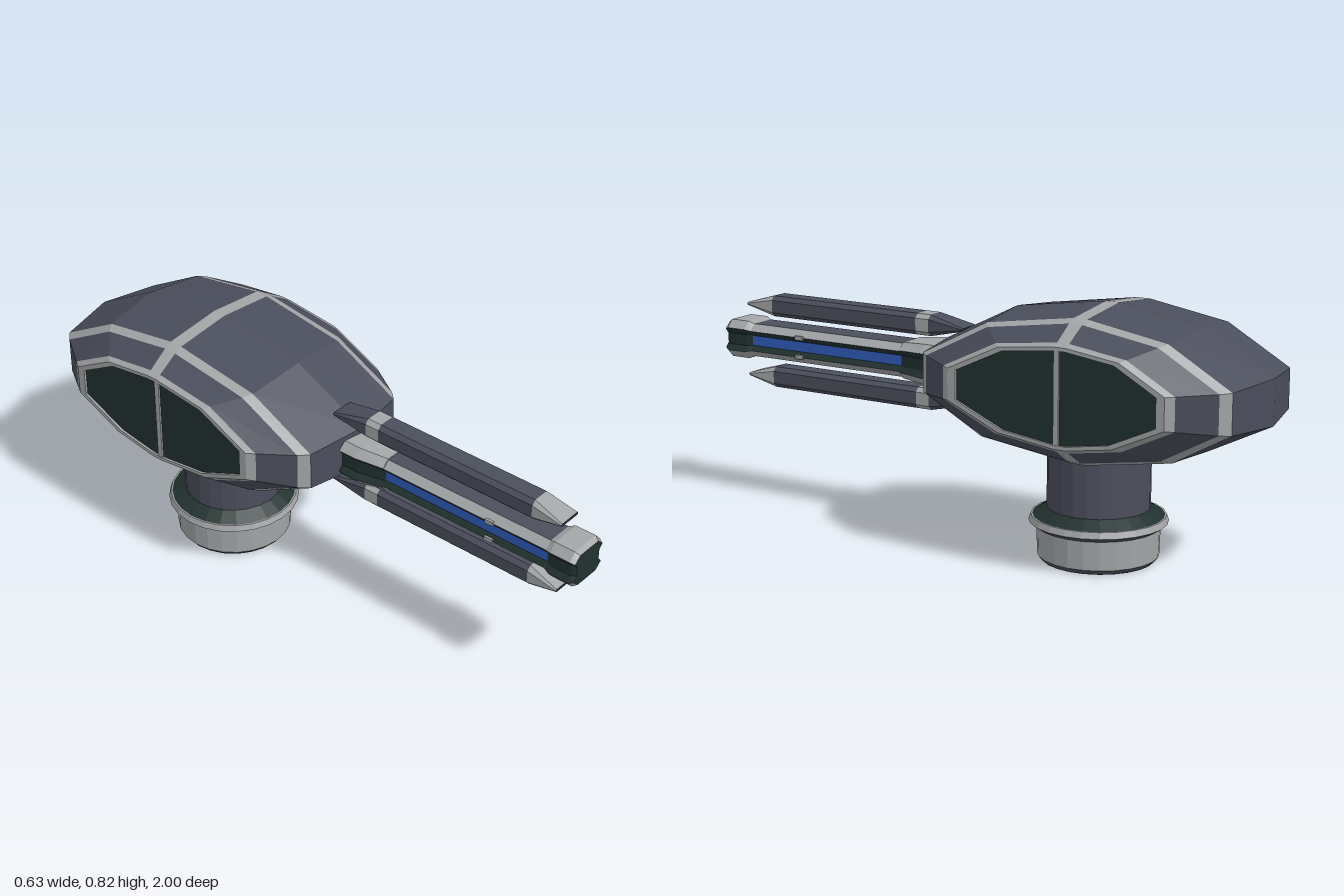
import * as THREE from 'three';

const paint = (name, color) => Object.assign(new THREE.MeshStandardMaterial({ color, flatShading: true }), { name });
const MATS = [
  paint('slate hull', 0x4b4e5c),
  paint('light grey trim', 0xa3a5a7),
  paint('dark green glass', 0x21312f),
  paint('blue glow', 0x2f5cba),
];
const [SLATE, TRIM, DARK, BLUE] = [0, 1, 2, 3];

// Skin over a row of matching rings; pick(i, j) gives each strip's material, caps close both ends
function loft(name, rings, pick, capStart, capEnd) {
  const tris = MATS.map(() => []);
  const tri = (m, ...pts) => pts.forEach((p) => tris[m].push(...p));
  const n = rings[0].length;
  for (let i = 0; i < rings.length - 1; i++) {
    for (let j = 0; j < n; j++) {
      const k = (j + 1) % n, m = pick(i, j);
      const a = rings[i][j], b = rings[i][k], c = rings[i + 1][k], d = rings[i + 1][j];
      tri(m, a, b, c);
      tri(m, a, c, d);
    }
  }
  const cap = (ring, m, flip) => {
    const mid = [0, 1, 2].map((q) => ring.reduce((s, p) => s + p[q], 0) / n);
    ring.forEach((p, j) => {
      const next = ring[(j + 1) % n];
      if (flip) tri(m, mid, next, p);
      else tri(m, mid, p, next);
    });
  };
  cap(rings[0], capStart, true);
  cap(rings[rings.length - 1], capEnd, false);

  const geo = new THREE.BufferGeometry();
  geo.setAttribute('position', new THREE.Float32BufferAttribute(tris.flat(), 3));
  let start = 0;
  tris.forEach((t, m) => {
    if (t.length) geo.addGroup(start, t.length / 3, m);
    start += t.length / 3;
  });
  geo.computeVertexNormals();
  const mesh = new THREE.Mesh(geo, MATS);
  mesh.name = name;
  return mesh;
}

// Hull profiles as [z, y]: top, front, bottom, back
const CENTRE = [[-0.48, 0.82], [-0.435, 0.82], [-0.12, 0.775], [0.14, 0.645], [0.14, 0.5], [-0.1, 0.388],
  [-0.435, 0.358], [-0.48, 0.358], [-0.79, 0.395], [-1, 0.5], [-1, 0.645], [-0.77, 0.775]];
const SHOULDER = [[-0.48, 0.8], [-0.435, 0.8], [-0.13, 0.755], [0.105, 0.635], [0.105, 0.508], [-0.11, 0.393],
  [-0.435, 0.352], [-0.48, 0.352], [-0.77, 0.4], [-0.96, 0.508], [-0.96, 0.635], [-0.75, 0.755]];
const SIDE = [[-0.475, 0.732], [-0.435, 0.732], [-0.24, 0.71], [-0.06, 0.625], [-0.06, 0.525], [-0.24, 0.447],
  [-0.435, 0.422], [-0.475, 0.422], [-0.63, 0.447], [-0.8, 0.525], [-0.8, 0.625], [-0.65, 0.708]];
const mix = (a, b, t) => a.map(([z, y], j) => [z + (b[j][0] - z) * t, y + (b[j][1] - y) * t]);

function buildHull() {
  const opening = SIDE.map(([z, y]) => [-0.43 + (z + 0.43) * 0.925, 0.577 + (y - 0.577) * 0.925]);
  // Stations from the middle outwards, with the colour of the strip leading to each
  const half = [
    [0.2, SHOULDER, SLATE],
    [0.228, mix(SHOULDER, SIDE, 0.18), TRIM],
    [0.298, mix(SHOULDER, SIDE, 0.84), SLATE],
    [0.315, SIDE, TRIM],
    [0.315, opening, TRIM],
    [0.307, opening, TRIM],
  ];
  const ring = (x, profile) => profile.map(([z, y]) => [x, y, z]);
  const rings = [
    ...half.map(([x, p]) => ring(-x, p)).reverse(),
    ring(0, CENTRE),
    ...half.map(([x, p]) => ring(x, p)),
  ];
  const colours = half.map((h) => h[2]);
  const strips = [...colours.slice().reverse(), ...colours];
  // The narrow strips on the crown and keel form the cross band
  return loft('hull', rings, (i, j) => (j % 6 === 0 ? TRIM : strips[i]), DARK, DARK);
}

// Barrel section: chamfered box with a groove along each side
function barrelRing(z, w, h, depth = 0.014) {
  const n = w - depth, c = w - 0.024, s = h * 0.6, g = h * 0.3, y0 = 0.56;
  const right = [[w, -s], [n, -g], [n, g], [w, s], [c, h]];
  const left = [[-c, h], [-w, s], [-n, g], [-n, -g], [-w, -s]];
  return [...right, ...left, [-c, -h], [c, -h]].map(([x, y]) => [x, y0 + y, z]);
}

function buildBarrel() {
  const group = new THREE.Group();
  group.name = 'barrel';
  const grooveOr = (rest) => (i, j) => ([0, 1, 2, 6, 7, 8].includes(j) ? DARK : rest);
  group.add(loft('barrelCollar',
    [barrelRing(0.05, 0.07, 0.06), barrelRing(0.13, 0.09, 0.067), barrelRing(0.19, 0.09, 0.067), barrelRing(0.285, 0.07, 0.06)],
    grooveOr(TRIM), TRIM, TRIM));
  group.add(loft('barrelBody',
    [barrelRing(0.26, 0.068, 0.056), barrelRing(0.92, 0.068, 0.056)],
    (i, j) => (j === 1 || j === 7 ? BLUE : j === 4 || j === 10 ? SLATE : grooveOr(TRIM)(i, j)), DARK, DARK));
  group.add(loft('muzzle',
    [barrelRing(0.895, 0.068, 0.056), barrelRing(0.915, 0.076, 0.064), barrelRing(0.985, 0.076, 0.064), barrelRing(1, 0.069, 0.054)],
    grooveOr(TRIM), TRIM, DARK));
  // Small clamps over the side grooves
  for (const side of [-1, 1]) {
    for (const dy of [-0.032, 0.032]) {
      const clamp = new THREE.Mesh(new THREE.BoxGeometry(0.008, 0.014, 0.03), MATS[TRIM]);
      clamp.name = 'grooveClamp';
      clamp.position.set(side * 0.067, 0.56 + dy, 0.69);
      group.add(clamp);
    }
  }
  return group;
}

// Long blade with wedge ends, above or below the barrel
function buildBlade(name, y0) {
  const ring = (z, h) => {
    const w = 0.042, c = Math.min(0.014, h * 0.8), k = h - c;
    return [[w, -k], [w, k], [w - c, h], [c - w, h], [-w, k], [-w, -k], [c - w, -h], [w - c, -h]]
      .map(([x, y]) => [x, y0 + y, z]);
  };
  const rings = [[0.06, 0.005], [0.19, 0.035], [0.24, 0.035], [0.82, 0.035], [0.925, 0.005]].map((s) => ring(...s));
  return loft(name, rings, (i) => [SLATE, TRIM, SLATE, TRIM][i], DARK, DARK);
}

function buildPedestal() {
  const group = new THREE.Group();
  group.name = 'pedestal';
  // name, bottom y, top y, bottom radius, top radius, colour
  const parts = [
    ['neck', 0.16, 0.42, 0.163, 0.163, SLATE],
    ['collarSlope', 0.144, 0.17, 0.208, 0.163, DARK],
    ['collarRim', 0.124, 0.144, 0.22, 0.213, TRIM],
    ['collarUnderside', 0.107, 0.124, 0.194, 0.22, SLATE],
    ['foot', 0.015, 0.11, 0.192, 0.195, TRIM],
    ['footBevel', 0, 0.015, 0.18, 0.192, SLATE],
  ];
  for (const [name, y0, y1, r0, r1, m] of parts) {
    const mesh = new THREE.Mesh(new THREE.CylinderGeometry(r1, r0, y1 - y0, 24), MATS[m]);
    mesh.name = name;
    mesh.position.y = (y0 + y1) / 2;
    group.add(mesh);
  }
  const sole = new THREE.Mesh(new THREE.CylinderGeometry(0.179, 0.179, 0.002, 24), MATS[DARK]);
  sole.name = 'sole';
  group.add(sole);
  group.position.z = -0.418;
  return group;
}

export function createModel() {
  const model = new THREE.Group();
  model.name = 'turret';
  model.add(buildHull(), buildBarrel(), buildPedestal());
  model.add(buildBlade('upperBlade', 0.682), buildBlade('lowerBlade', 0.438));

  // Window bars
  for (const side of [-1, 1]) {
    const bar = new THREE.Mesh(new THREE.BoxGeometry(0.008, 0.286, 0.018), MATS[TRIM]);
    bar.name = 'windowBar';
    bar.position.set(side * 0.309, 0.577, -0.44);
    model.add(bar);
  }
  return model;
}
